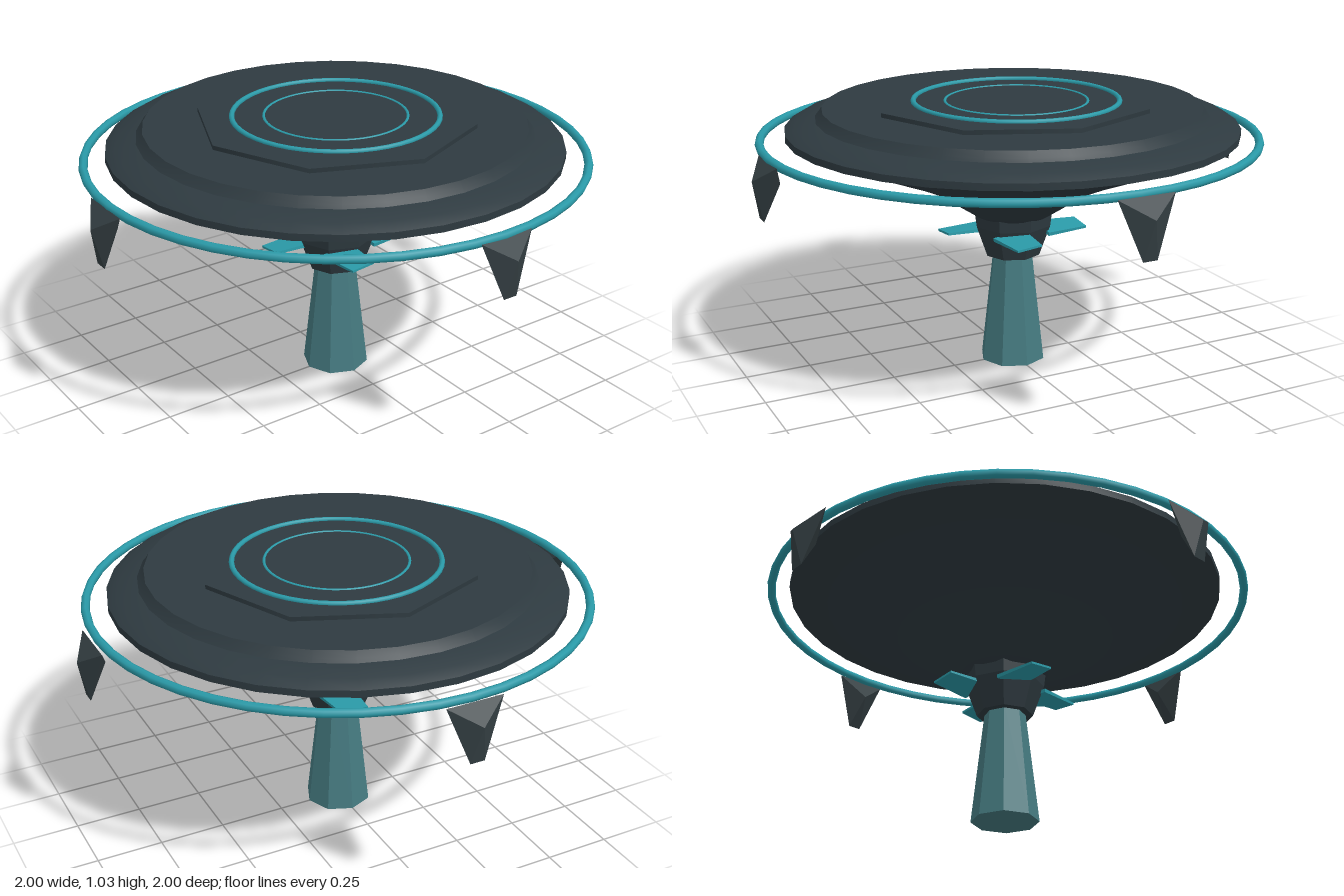
import * as THREE from 'three';
import { toCreasedNormals } from 'three/addons/utils/BufferGeometryUtils.js';
import { ConvexGeometry } from 'three/addons/geometries/ConvexGeometry.js';

const mat = (name, color, flatShading = false) => {
  const m = new THREE.MeshStandardMaterial({ color });
  m.name = name;
  m.flatShading = flatShading;
  return m;
};

export function createModel() {
  const model = new THREE.Group();
  const stone = mat('dark slate', 0x2e3a40);
  const claw = mat('grey slate', 0x343f43);
  const teal = mat('bright teal', 0x2a9aa8);
  const pale = mat('muted teal', 0x457a80);

  const add = (name, geometry, material, x = 0, y = 0, z = 0, parent = model) => {
    const mesh = new THREE.Mesh(geometry, material);
    mesh.name = name;
    mesh.position.set(x, y, z);
    parent.add(mesh);
    return mesh;
  };
  const lathe = (points, sides, crease) => toCreasedNormals(
    new THREE.LatheGeometry(points.map(([r, y]) => new THREE.Vector2(r, y)), sides), crease);
  const ring = (name, radius, tube, x, y, z) => {
    const mesh = add(name, new THREE.TorusGeometry(radius, tube, 8, 48), teal, x, y, z);
    mesh.rotation.x = Math.PI / 2;
  };

  // Octagonal tapered stem and flared collar
  add('stem', lathe([[0, 0], [0.127, 0], [0.077, 0.44], [0, 0.44]], 8, 0.3), pale);
  add('collar', lathe([[0, 0.425], [0.107, 0.425], [0.15, 0.545], [0.157, 0.6], [0, 0.6]], 8, 0.1), stone);

  // Bowl underside and stepped disc top
  add('bowl', lathe([[0, 0.585], [0.145, 0.585], [0.22, 0.635], [0.305, 0.695], [0.45, 0.762],
    [0.735, 0.878], [0.842, 0.91]], 32, 0.6), stone);
  add('disc', lathe([[0.842, 0.91], [0.842, 0.935], [0.805, 0.957], [0.73, 0.972],
    [0.718, 0.985], [0.705, 1.006], [0, 1.006]], 32, 0.5), stone);
  add('octagonPlate', new THREE.CylinderGeometry(0.52, 0.52, 0.02, 8), stone, 0, 1.012, 0);

  // Glowing rings on the top and the floating hoop
  ring('topRingOuter', 0.382, 0.01, -0.011, 1.024, -0.01);
  ring('topRingInner', 0.265, 0.006, -0.011, 1.02, -0.01);
  ring('floatingHoop', 0.921, 0.016, 0.01, 0.895, 0.005);

  // Faceted hanging claw, pointing outwards along +z
  const clawShape = new ConvexGeometry([
    [-0.107, 0.895, 0.94], [0.107, 0.895, 0.94], [0, 0.81, 0.9], [0, 0.83, 1.0],
    [-0.027, 0.688, 0.972], [0.027, 0.688, 0.972],
  ].map((p) => new THREE.Vector3(...p)));

  // Thin fin, narrower at its outer end
  const finShape = new THREE.BoxGeometry(0.13, 0.014, 0.17);
  const pos = finShape.attributes.position;
  for (let i = 0; i < pos.count; i++) {
    if (pos.getZ(i) > 0) {
      pos.setX(i, pos.getX(i) * 0.75);
      pos.setY(i, pos.getY(i) * 0.6);
    }
  }
  finShape.computeVertexNormals();

  // Four claws and four offset fins around the axis
  for (let i = 0; i < 4; i++) {
    const quarter = new THREE.Group();
    quarter.name = 'quarter' + (i + 1);
    quarter.rotation.y = i * Math.PI / 2;
    add('claw', clawShape, claw, 0, 0, 0, quarter);
    const fin = add('fin', finShape, teal, -0.06, 0.525, 0.177, quarter);
    fin.rotation.z = 0.1;
    model.add(quarter);
  }
  return model;
}
